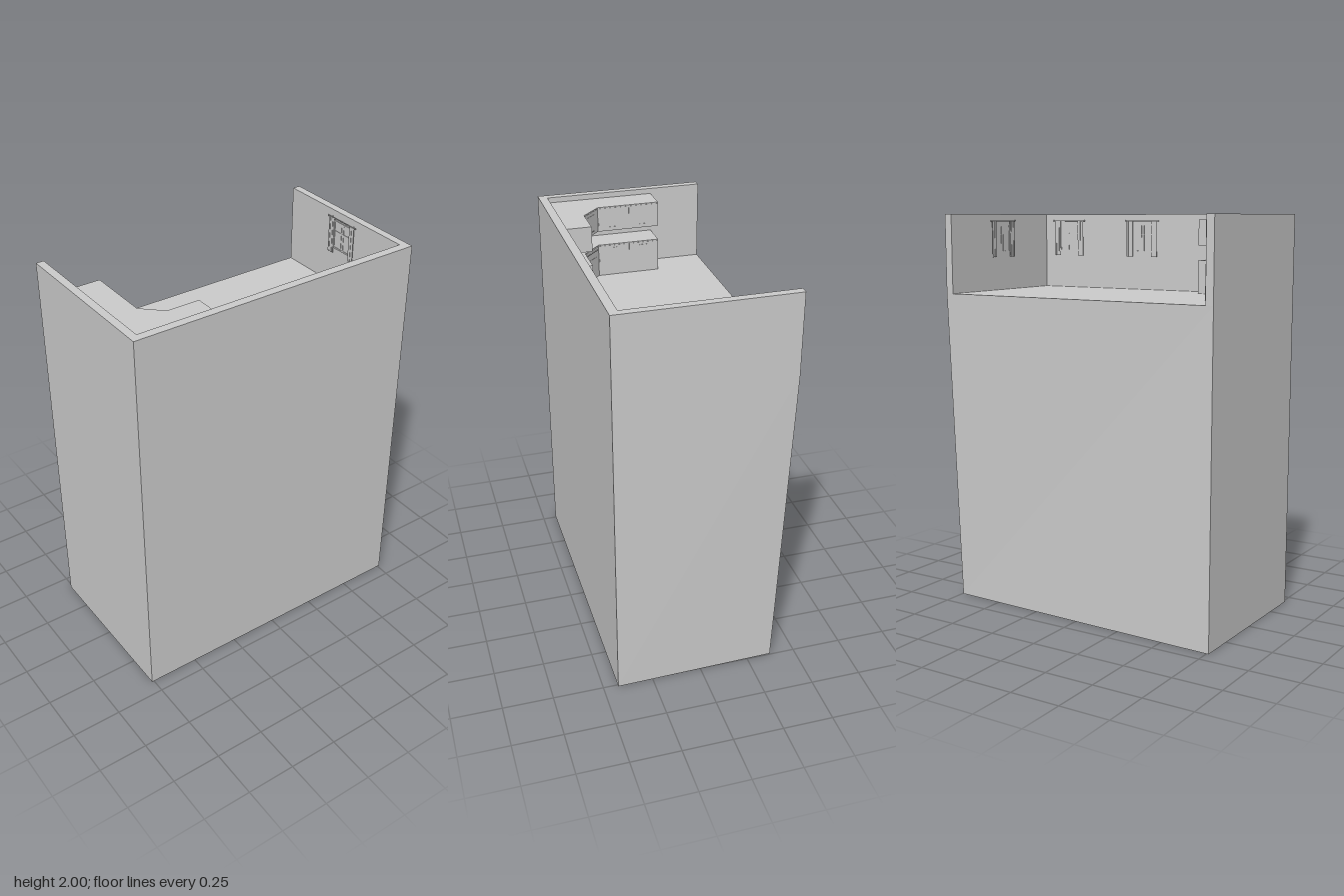
import * as THREE from 'three';

const FLOOR = 1.603, X = 0.427, Z = 0.761; // room floor level and outer half sizes
const IN_X = 0.384, IN_Z = 0.721;          // inner wall faces
const grey = new THREE.MeshStandardMaterial({ color: 0xcccccc, flatShading: true });

function add(parent, name, geometry, x = 0, y = 0, z = 0) {
  const mesh = new THREE.Mesh(geometry, grey);
  mesh.name = name;
  mesh.position.set(x, y, z);
  parent.add(mesh);
  return mesh;
}

const box = (parent, name, w, h, d, x, y, z) =>
  add(parent, name, new THREE.BoxGeometry(w, h, d), x, y, z);

// Upright prism over a plan of [x, z] points
function prism(parent, name, plan, y, height) {
  const shape = new THREE.Shape(plan.map(([x, z]) => new THREE.Vector2(x, -z)));
  const geometry = new THREE.ExtrudeGeometry(shape, { depth: height, bevelEnabled: false });
  geometry.rotateX(-Math.PI / 2);
  return add(parent, name, geometry, 0, y, 0);
}

// Tall base block, with one bottom corner pulled inwards
function base(parent) {
  const geometry = new THREE.BoxGeometry(2 * X, FLOOR, 2 * Z).toNonIndexed();
  geometry.translate(0, FLOOR / 2, 0);
  const p = geometry.attributes.position;
  for (let i = 0; i < p.count; i++) {
    if (p.getX(i) < 0 && p.getY(i) < 0.01 && p.getZ(i) < 0) p.setXYZ(i, -0.374, 0, -0.745);
  }
  geometry.computeVertexNormals();
  add(parent, 'floorBlock', geometry);
}

// Window with frame, glazing bars, rod and two curtains; local +z faces the room
function makeWindow() {
  const g = new THREE.Group();
  g.name = 'window';
  const w = 0.13, h = 0.15, t = 0.008;
  box(g, 'pane', w, h, 0.002, 0, 0, 0.001);
  for (const s of [-1, 1]) {
    box(g, 'frameSide', t, h, 0.005, s * (w - t) / 2, 0, 0.0025);
    box(g, 'frameRail', w, t, 0.005, 0, s * (h - t) / 2, 0.0025);
    box(g, 'glazingBar', 0.004, h, 0.004, s * 0.008, 0, 0.002);
    // Curtain made of narrow folds
    for (let i = 0; i < 4; i++) {
      box(g, 'curtainFold', 0.009, 0.186, 0.003, s * (0.062 + i * 0.009), -0.005, i % 2 ? 0.0115 : 0.0095);
    }
    add(g, 'rodEnd', new THREE.SphereGeometry(0.004, 8, 6), s * 0.102, 0.09, 0.0105);
    box(g, 'rodBracket', 0.003, 0.003, 0.011, s * 0.08, 0.09, 0.0055);
  }
  box(g, 'crossBar', w, 0.004, 0.004, 0, 0.02, 0.002);
  const rod = new THREE.CylinderGeometry(0.0025, 0.0025, 0.204, 8).rotateZ(Math.PI / 2);
  add(g, 'curtainRod', rod, 0, 0.09, 0.0105);
  return g;
}

// Raised door with a bar handle on two posts
function door(parent, x, y, w, h, handleY, handleW) {
  box(parent, 'door', w, h, 0.0016, x, y, 0.0008);
  box(parent, 'handle', handleW, 0.004, 0.002, x, y + handleY, 0.0045);
  for (const s of [-1, 1]) {
    box(parent, 'handlePost', 0.004, 0.004, 0.004, x + s * handleW * 0.42, y + handleY, 0.002);
  }
}

// Corner cabinet run; handles sit high on the lower run and low on the upper run
const FRONT = [[-0.165, 0.58], [0.155, 0.58], [0.247, 0.485], [0.247, 0.32]];
function cabinets(name, y, height, isLower) {
  const g = new THREE.Group();
  g.name = name;
  prism(g, 'carcass', [[-0.165, IN_Z], [IN_X, IN_Z], [IN_X, 0.32], ...FRONT.slice().reverse()], y, height);
  const handleY = (isLower ? 1 : -1) * (height / 2 - 0.02);
  [2, 1, 1].forEach((doors, i) => {
    const [ax, az] = FRONT[i], [bx, bz] = FRONT[i + 1];
    const face = new THREE.Group();
    face.name = 'cabinetFront';
    face.position.set((ax + bx) / 2, y + height / 2, (az + bz) / 2);
    face.rotation.y = Math.atan2(bz - az, ax - bx);
    g.add(face);
    const length = Math.hypot(bx - ax, bz - az), pitch = length / doors;
    for (let k = 0; k < doors; k++) {
      const x = (k + 0.5) * pitch - length / 2;
      door(face, x, 0, pitch - 0.008, height - 0.012, handleY, i === 1 && isLower ? 0.1 : 0.04);
    }
    // Inset panel on the diagonal front
    if (i === 1) box(face, 'cornerPanel', length * 0.65, height * 0.5, 0.003, 0, -handleY * 0.2, 0.0015);
  });
  return g;
}

export function createModel() {
  const model = new THREE.Group();
  model.name = 'kitchenRoom';
  base(model);

  // Walls on three sides, open on the fourth
  prism(model, 'walls', [
    [-X, Z], [X, Z], [X, -Z], [-X, -Z],
    [-X, -IN_Z], [IN_X, -IN_Z], [IN_X, IN_Z], [-X, IN_Z],
  ], FLOOR, 2 - FLOOR);

  model.add(cabinets('lowerCabinets', FLOOR, 0.168, true));
  model.add(cabinets('upperCabinets', 1.845, 0.128, false));

  // One window in the back wall, two in the side wall
  for (const [x, z, turn] of [
    [-0.02, -IN_Z, 0], [IN_X, -0.56, -Math.PI / 2], [IN_X, -0.09, -Math.PI / 2],
  ]) {
    const w = makeWindow();
    w.position.set(x, 1.875, z);
    w.rotation.y = turn;
    model.add(w);
  }
  return model;
}
